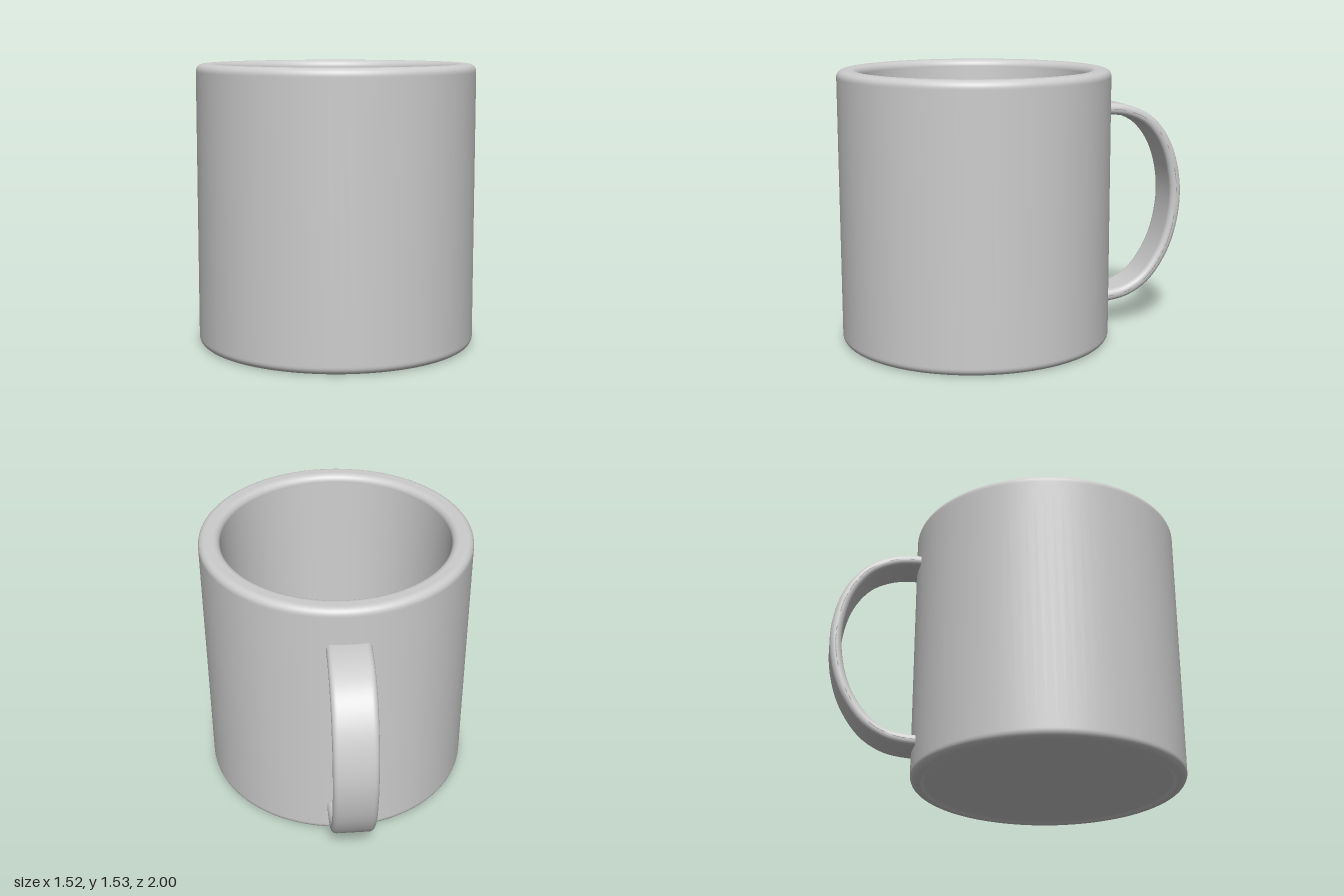
import * as THREE from 'three';

const CUP_Z = 0.24; // cup axis, moved forward to leave room for the handle

// Rounded corner of a profile, with short tangent leads so flat areas stay flat.
function corner(cx, cy, r, from, to, steps = 8) {
  const pts = [];
  const dir = Math.sign(to - from);
  const at = (deg, lead) => {
    const a = THREE.MathUtils.degToRad(deg);
    return new THREE.Vector2(
      cx + r * Math.cos(a) - Math.sin(a) * lead * dir,
      cy + r * Math.sin(a) + Math.cos(a) * lead * dir
    );
  };
  pts.push(at(from, -0.006));
  for (let i = 0; i <= steps; i++) pts.push(at(from + ((to - from) * i) / steps, 0));
  pts.push(at(to, 0.006));
  return pts;
}

// Closed cup wall: underside, outer wall, rim, tapered inside and floor.
function cupGeometry() {
  const profile = [
    new THREE.Vector2(0, 0.012),
    new THREE.Vector2(0.68, 0.012),
    new THREE.Vector2(0.69, 0.012),
    new THREE.Vector2(0.697, 0.001),
    new THREE.Vector2(0.703, 0),
    ...corner(0.72, 0.04, 0.04, -90, 0),
    ...corner(0.72, 1.495, 0.04, 0, 90),
    ...corner(0.68, 1.495, 0.04, 90, 183),
    ...corner(0.52, 0.18, 0.06, 357, 270),
    new THREE.Vector2(0, 0.12),
  ];
  return new THREE.LatheGeometry(profile, 96);
}

// Rounded strap swept along a planar curve in the y-z plane.
function handleGeometry() {
  const path = new THREE.CatmullRomCurve3([
    [1.288, -0.46], [1.288, -0.56], [1.273, -0.66], [1.218, -0.78], [1.13, -0.865],
    [1.0, -0.93], [0.8, -0.967], [0.6, -0.948], [0.43, -0.888], [0.28, -0.78],
    [0.207, -0.66], [0.186, -0.56], [0.18, -0.46],
  ].map(([y, z]) => new THREE.Vector3(0, y, z)));

  // Cross-section: x is the strap width, y its thickness.
  const w = 0.12, t = 0.033, r = 0.03;
  const section = [
    ...corner(w - r, t - r, r, 0, 90, 6),
    ...corner(r - w, t - r, r, 90, 180, 6),
    ...corner(r - w, r - t, r, 180, 270, 6),
    ...corner(w - r, r - t, r, 270, 360, 6),
  ].map((p) => new THREE.Vector2(THREE.MathUtils.clamp(p.x, -w, w), THREE.MathUtils.clamp(p.y, -t, t)));

  const steps = 72, n = section.length;
  const positions = [], indices = [];
  for (let i = 0; i <= steps; i++) {
    const c = path.getPointAt(i / steps);
    const d = path.getTangentAt(i / steps);
    // Outward direction in the plane of the curve
    const oy = -d.z, oz = d.y;
    for (const s of section) positions.push(s.x - 0.01, c.y + oy * s.y, c.z + oz * s.y);
  }
  for (let i = 0; i < steps; i++) {
    for (let j = 0; j < n; j++) {
      const a = i * n + j, b = i * n + ((j + 1) % n);
      indices.push(a, a + n, b, b, a + n, b + n);
    }
  }
  const geo = new THREE.BufferGeometry();
  geo.setAttribute('position', new THREE.Float32BufferAttribute(positions, 3));
  geo.setIndex(indices);
  geo.computeVertexNormals();
  return geo;
}

export function createModel() {
  const group = new THREE.Group();
  group.name = 'mug';
  const ceramic = new THREE.MeshStandardMaterial({ color: 0xcccccc });
  ceramic.name = 'grey ceramic';

  const cup = new THREE.Mesh(cupGeometry(), ceramic);
  cup.name = 'cup';
  cup.position.z = CUP_Z;

  const handle = new THREE.Mesh(handleGeometry(), ceramic);
  handle.name = 'handle';

  group.add(cup, handle);
  return group;
}
